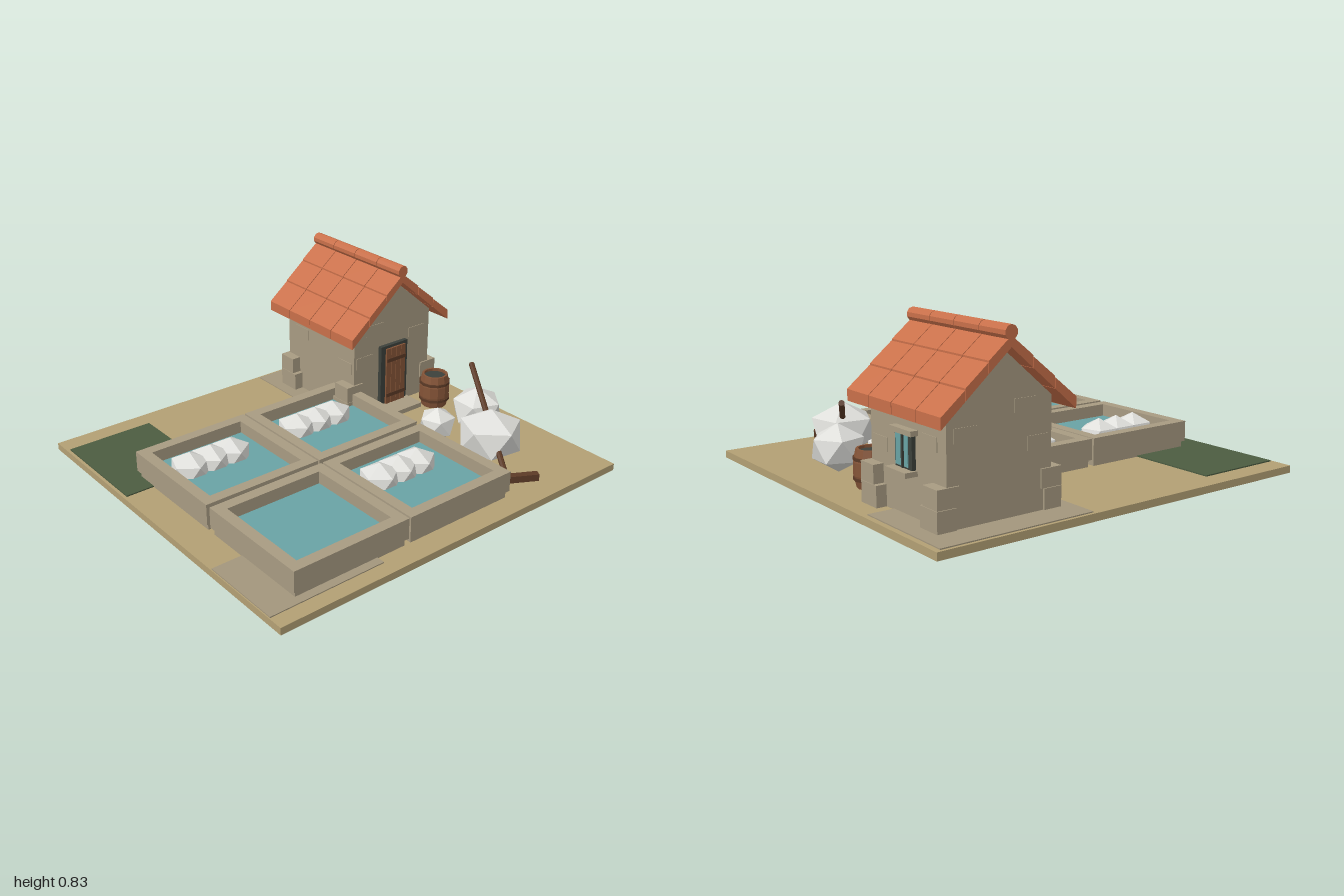
import * as THREE from 'three';

const mat = (name, color) => {
  const m = new THREE.MeshStandardMaterial({ color, flatShading: true });
  m.name = name;
  return m;
};

export function createModel() {
  const sand = mat('sand', 0xb3a074);
  const stone = mat('stone', 0xa89b82);
  const paving = mat('paving', 0xa3967c);
  const tile = mat('terracotta', 0xc9704a);
  const wood = mat('wood', 0x855437);
  const darkWood = mat('dark wood', 0x5c3a26);
  const water = mat('water', 0x69a3a5);
  const salt = mat('salt', 0xdededa);
  const moss = mat('moss', 0x4c5c41);
  const dark = mat('dark grey', 0x3c413b);

  const root = new THREE.Group();
  const group = (name, parent = root) => {
    const g = new THREE.Group();
    g.name = name;
    parent.add(g);
    return g;
  };
  const mesh = (parent, name, geo, m) => {
    const o = new THREE.Mesh(geo, m);
    o.name = name;
    parent.add(o);
    return o;
  };
  // box from its minimum and maximum corners
  const box = (parent, name, m, x0, x1, y0, y1, z0, z1) => {
    const o = mesh(parent, name, new THREE.BoxGeometry(x1 - x0, y1 - y0, z1 - z0), m);
    o.position.set((x0 + x1) / 2, (y0 + y1) / 2, (z0 + z1) / 2);
    return o;
  };
  const extrude = (points, depth) => new THREE.ExtrudeGeometry(
    new THREE.Shape(points.map(p => new THREE.Vector2(...p))), { depth, bevelEnabled: false });
  // icosahedron standing on a vertex, squashed in height
  const lump = (parent, name, x, y, z, r, ry, turn) => {
    const geo = new THREE.IcosahedronGeometry(1, 0);
    geo.rotateZ(Math.atan2(1, (1 + Math.sqrt(5)) / 2)).rotateY(turn);
    const o = mesh(parent, name, geo, salt);
    o.scale.set(r, ry, r);
    o.position.set(x, y, z);
  };

  // ground and patches
  const G = 0.035;
  box(root, 'ground', sand, -1, 1, 0, G, -0.935, 0.935);
  box(root, 'housePaving', paving, 0.225, 0.975, G, G + 0.005, -0.92, -0.4);
  box(root, 'cornerPaving', paving, -0.995, -0.41, G, G + 0.005, 0.45, 0.86);
  box(root, 'mossPatch', moss, -0.985, -0.54, G, G + 0.006, -0.83, -0.27);

  // evaporation basins
  for (const x0 of [-0.855, -0.235]) for (const z0 of [-0.395, 0.23]) {
    const b = group('basin');
    const x1 = x0 + 0.61, z1 = z0 + 0.6, t = 0.055;
    const ring = (name, inset, y0, y1) => {
      const a = x0 + inset, c = x1 - inset, d = z0 + inset, e = z1 - inset;
      box(b, name, stone, a, c, y0, y1, d, z0 + t);
      box(b, name, stone, a, c, y0, y1, z1 - t, e);
      box(b, name, stone, a, x0 + t, y0, y1, z0 + t, z1 - t);
      box(b, name, stone, x1 - t, c, y0, y1, z0 + t, z1 - t);
    };
    ring('basinFoot', 0.012, G, 0.07);
    ring('basinWall', 0, 0.07, 0.172);
    box(b, 'water', water, x0 + t, x1 - t, G, 0.11, z0 + t, z1 - t);
    if (x0 < -0.5 && z0 > 0) continue;
    for (let i = 0; i < 3; i++)
      lump(b, 'saltHeap', x0 + 0.165 + i * 0.113, 0.12, z0 + 0.208, 0.103, 0.083, 0.3);
  }

  // large salt piles
  lump(root, 'saltPile', 0.57, 0.165, 0.515, 0.168, 0.135, 0.2);
  lump(root, 'saltPile', 0.745, 0.15, 0.253, 0.136, 0.115, 0.6);
  lump(root, 'saltPile', 0.52, 0.115, 0.2, 0.1, 0.085, 1.0);

  // rake
  const rake = group('rake');
  const tip = new THREE.Vector3(0.755, 0.37, 0.19), end = new THREE.Vector3(0.44, 0.08, 0.75);
  const handle = mesh(rake, 'rakeHandle',
    new THREE.CylinderGeometry(0.014, 0.014, tip.distanceTo(end), 8), darkWood);
  handle.position.copy(tip).lerp(end, 0.5);
  handle.quaternion.setFromUnitVectors(new THREE.Vector3(0, 1, 0), tip.clone().sub(end).normalize());
  const head = mesh(rake, 'rakeHead', new THREE.BoxGeometry(0.265, 0.034, 0.035), darkWood);
  head.position.set(0.45, 0.08, 0.768);
  head.rotation.y = -0.5;

  // barrel
  const barrel = group('barrel');
  barrel.position.set(0.762, 0, -0.075);
  const V = (x, y) => new THREE.Vector2(x, y);
  mesh(barrel, 'barrelBody', new THREE.LatheGeometry([V(0, 0.042), V(0.066, 0.042),
    V(0.08, 0.1), V(0.08, 0.16), V(0.068, 0.218), V(0.057, 0.218), V(0.057, 0.2)], 12), wood);
  mesh(barrel, 'barrelInside', new THREE.CylinderGeometry(0.058, 0.058, 0.006, 12), dark).position.y = 0.202;
  for (const y of [0.085, 0.175])
    mesh(barrel, 'barrelHoop', new THREE.CylinderGeometry(0.082, 0.082, 0.014, 12), darkWood).position.y = y;

  // house walls with gables
  const house = group('house');
  house.position.set(0.592, 0, -0.505);
  const W = 0.257, D = 0.275;
  mesh(house, 'walls', extrude([[-W, G], [W, G], [W, 0.515], [0, 0.735], [-W, 0.515]], 2 * D), stone)
    .position.z = -D;

  // corner stones and raised bricks
  for (const sx of [-1, 1]) for (const sz of [-1, 1]) {
    const corner = (y0, y1, lx, lz) => {
      const o = box(house, 'cornerStone', stone, -lx / 2, lx / 2, y0, y1, -lz / 2, lz / 2);
      o.position.x = sx * (W + 0.05 - lx / 2);
      o.position.z = sz * (D + 0.008 - lz / 2);
    };
    corner(G, 0.13, 0.09, 0.12);
    corner(0.132, 0.215, 0.105, 0.1);
  }
  for (const [x, y] of [[-0.19, 0.3], [0.17, 0.38], [-0.12, 0.46]])
    for (const s of [-1, 1])
      box(house, 'wallBrick', stone, x - 0.055, x + 0.055, y, y + 0.06, s * D - 0.003, s * D + 0.003);
  for (const [z, y] of [[-0.16, 0.34], [0.2, 0.27]])
    for (const s of [-1, 1])
      box(house, 'wallBrick', stone, s * W - 0.003, s * W + 0.003, y, y + 0.06, z - 0.055, z + 0.055);

  // tiled roof, three rows by four columns on each slope
  const roof = group('roof', house);
  const run = 0.328, drop = 0.28, z0 = -0.345, zStep = 0.1735;
  for (const s of [-1, 1]) for (let r = 0; r < 3; r++) for (let c = 0; c < 4; c++) {
    const a = r / 3, b = (r + 1) / 3 - (r < 2 ? 0.008 : 0);
    const pts = [[a, 0.785], [b, 0.79], [b, 0.74], [a, 0.74]]
      .map(([t, y]) => [s * t * run, y - t * drop]);
    mesh(roof, 'roofTile', extrude(pts, zStep - 0.004), tile).position.z = z0 + c * zStep;
  }
  for (let c = 0; c < 4; c++) {
    const cap = mesh(roof, 'ridgeTile', new THREE.CylinderGeometry(0.031, 0.031, zStep - 0.004, 10), tile);
    cap.rotation.x = Math.PI / 2;
    cap.position.set(0, 0.798, z0 + (c + 0.5) * zStep - 0.002);
  }

  // door and step
  const door = group('door', house);
  box(door, 'doorFrame', dark, -0.092, 0.088, G, 0.39, D - 0.01, D + 0.022);
  for (let i = 0; i < 4; i++)
    box(door, 'doorPlank', wood, -0.062 + i * 0.033, -0.032 + i * 0.033, 0.045, 0.375, D, D + 0.032);
  for (const y of [0.1, 0.3])
    box(door, 'doorBand', darkWood, -0.062, 0.067, y, y + 0.02, D + 0.03, D + 0.037);
  box(house, 'doorStep', stone, -0.097, 0.098, G, 0.06, D, 0.41);

  // side window
  const win = group('window', house);
  box(win, 'windowFrame', dark, W - 0.01, W + 0.018, 0.235, 0.385, -0.062, 0.062);
  for (const [a, b] of [[0.004, 0.054], [-0.036, -0.008]])
    box(win, 'windowPane', water, W + 0.016, W + 0.021, 0.245, 0.375, a, b);
  box(win, 'windowBar', dark, W, W + 0.028, 0.24, 0.38, -0.006, 0.004);
  box(win, 'windowLintel', stone, W - 0.01, W + 0.035, 0.38, 0.402, -0.08, 0.08);
  box(win, 'windowSill', stone, W - 0.01, W + 0.06, 0.215, 0.237, -0.075, 0.075);

  return root;
}
